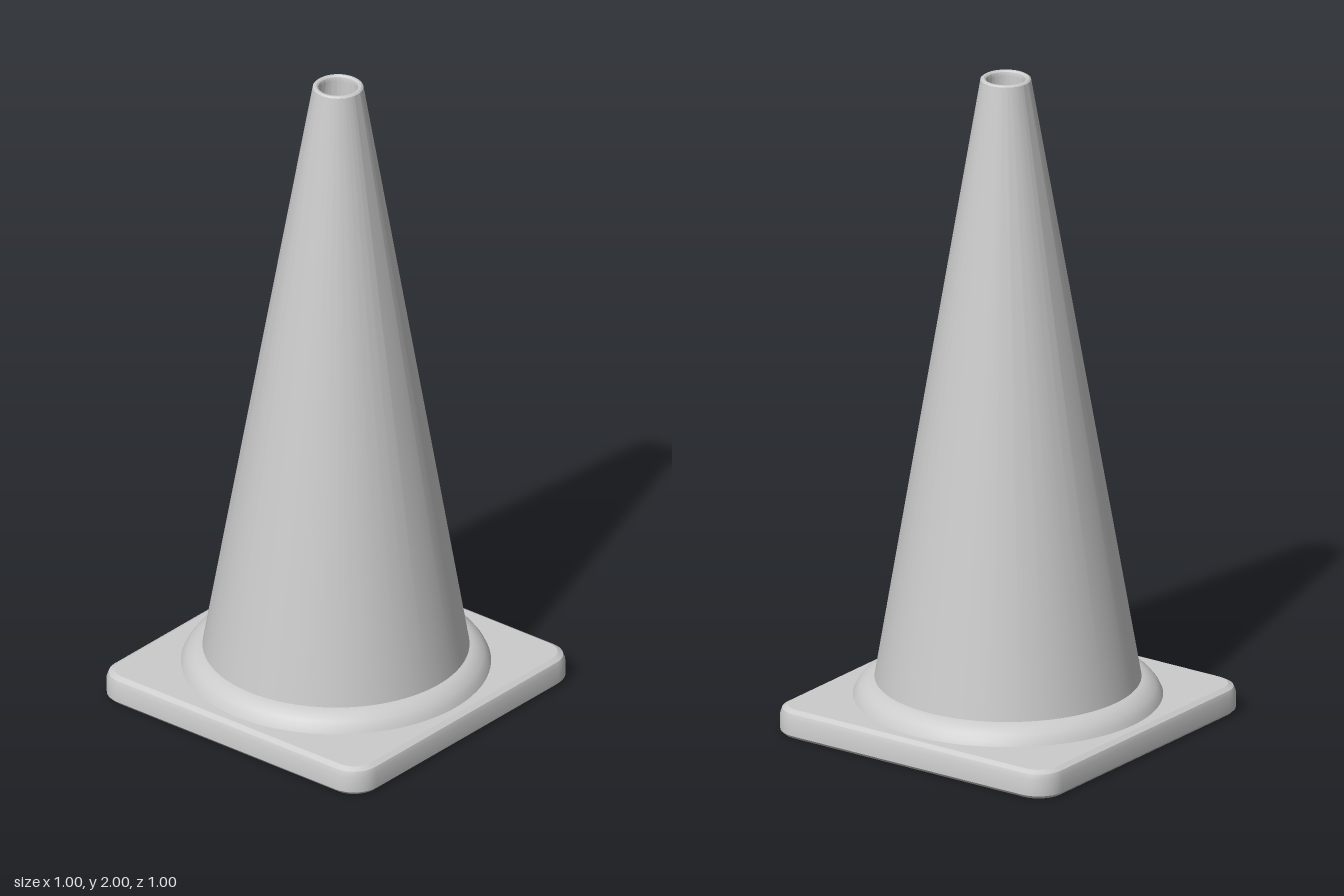
import * as THREE from 'three';
import { toCreasedNormals } from 'three/addons/utils/BufferGeometryUtils.js';

const material = new THREE.MeshStandardMaterial({ color: 0xcccccc, side: THREE.DoubleSide });
const HOLE = 0.375, PLATE_TOP = 0.085, COLLAR_TOP = 0.14;

function addMesh(group, name, geometry) {
  const mesh = new THREE.Mesh(toCreasedNormals(geometry, 0.5), material);
  mesh.name = name;
  group.add(mesh);
}

function lathe(points) {
  return new THREE.LatheGeometry(points.map(([r, y]) => new THREE.Vector2(r, y)), 96);
}

// Rounded square outline, counter-clockwise in x and -z
function roundedSquare(half, radius) {
  const points = [], arcSteps = 10, edgeSteps = 14, c = half - radius;
  for (let q = 0; q < 4; q++) {
    const turn = q * Math.PI / 2;
    const put = (x, y) => points.push(new THREE.Vector2(x, y).rotateAround(new THREE.Vector2(), turn));
    for (let i = 0; i < edgeSteps; i++) put(half, -c + 2 * c * i / edgeSteps);
    for (let i = 0; i < arcSteps; i++) {
      const a = (i / arcSteps) * Math.PI / 2;
      put(c + radius * Math.cos(a), c + radius * Math.sin(a));
    }
  }
  return points;
}

// Square plate with a round hole, lofted from the hole around the outer edge and back
function plateGeometry() {
  const outline = roundedSquare(0.5, 0.085);
  const circle = outline.map(p => p.clone().setLength(HOLE));
  const loops = [
    [circle, 0],
    [roundedSquare(0.49, 0.075), 0],
    [outline, 0.01],
    [outline, 0.06],
    [roundedSquare(0.494, 0.079), 0.076],
    [roundedSquare(0.478, 0.063), PLATE_TOP],
    [circle, PLATE_TOP],
  ];
  const n = outline.length, positions = [], index = [];
  loops.forEach(([loop, y], k) => {
    loop.forEach(p => positions.push(p.x, y, -p.y));
    if (k === 0) return;
    for (let i = 0; i < n; i++) {
      const j = (i + 1) % n, a = (k - 1) * n, b = k * n;
      index.push(a + i, a + j, b + j, a + i, b + j, b + i);
    }
  });
  const geometry = new THREE.BufferGeometry();
  geometry.setAttribute('position', new THREE.Float32BufferAttribute(positions, 3));
  geometry.setIndex(index);
  return geometry;
}

export function createModel() {
  const group = new THREE.Group();
  group.name = 'trafficCone';

  addMesh(group, 'basePlate', plateGeometry());

  // Rounded collar where the cone meets the plate
  addMesh(group, 'collar', lathe([
    [0.453, PLATE_TOP], [0.446, 0.1], [0.433, 0.117], [0.415, 0.13], [0.4, 0.137], [0.385, COLLAR_TOP],
  ]));

  // Hollow cone: up the outside, over the rim, down the inside
  const cone = lathe([
    [0.39, COLLAR_TOP], [0.076, 1.985], [0.074, 1.996], [0.069, 2], [0.063, 2],
    [0.058, 1.996], [0.055, 1.985], [0.368, 0.13], [HOLE, 0],
  ]);
  // The cone leans very slightly forward
  const p = cone.attributes.position;
  for (let i = 0; i < p.count; i++) {
    const t = Math.max(0, (p.getY(i) - COLLAR_TOP) / (2 - COLLAR_TOP));
    p.setZ(i, p.getZ(i) + 0.008 * t);
  }
  addMesh(group, 'coneShell', cone);

  return group;
}
